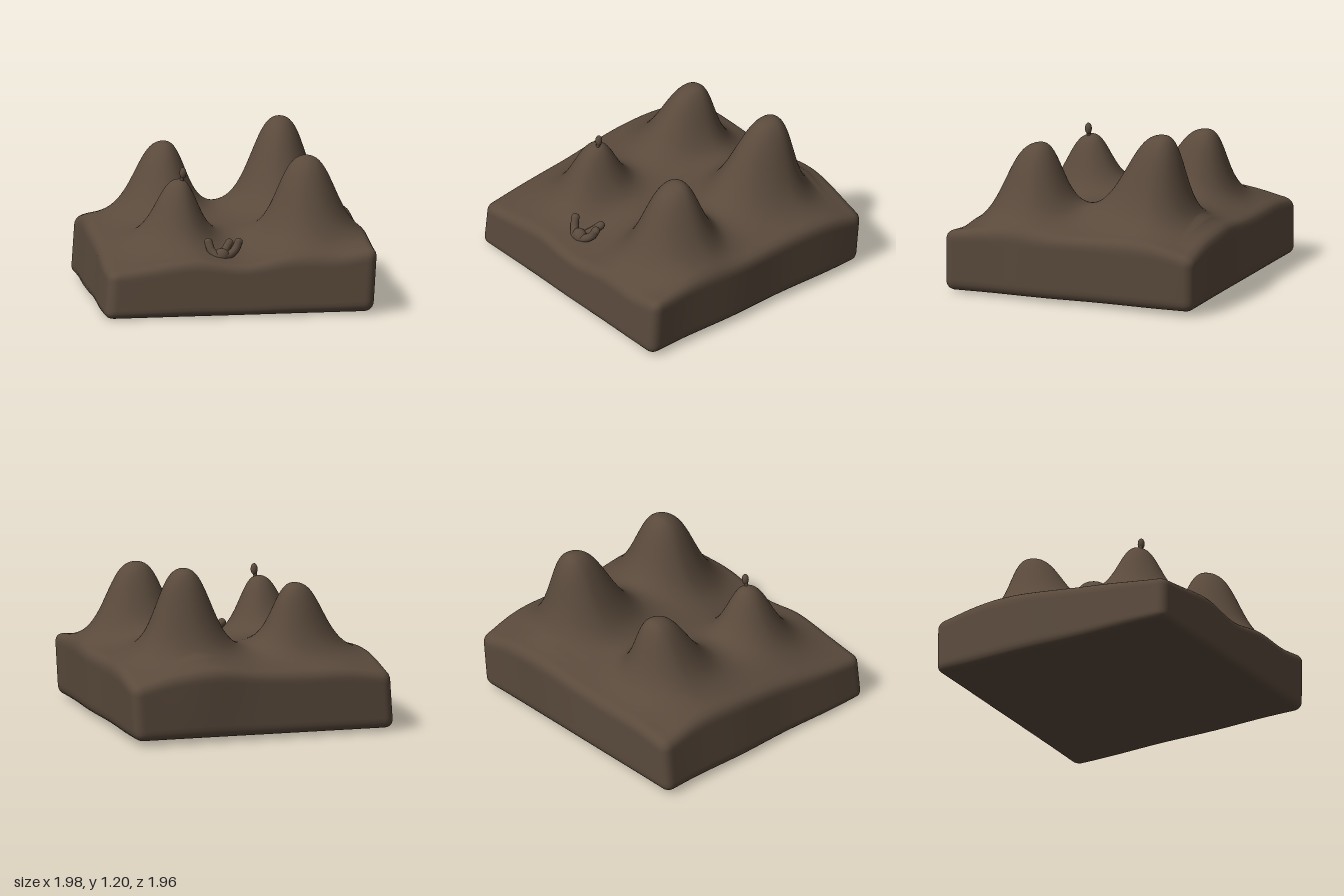
import * as THREE from 'three';
import { mergeVertices } from 'three/addons/utils/BufferGeometryUtils.js';

const HALF_W = 0.975, HALF_D = 0.965, THICK = 0.5, R = 0.07;

// Ground heights: rows from back to front, columns from x = -1 to 1
const GROUND = [
  [0.42, 0.46, 0.46, 0.48, 0.51, 0.49, 0.42],
  [0.47, 0.48, 0.48, 0.50, 0.50, 0.50, 0.48],
  [0.47, 0.48, 0.48, 0.50, 0.50, 0.50, 0.48],
  [0.44, 0.46, 0.46, 0.48, 0.49, 0.49, 0.47],
  [0.39, 0.43, 0.43, 0.44, 0.45, 0.46, 0.45],
  [0.35, 0.38, 0.385, 0.375, 0.40, 0.42, 0.46],
  [0.32, 0.35, 0.385, 0.35, 0.385, 0.38, 0.46],
];

// Hills: foot centre, rise, falloff widths towards +x, -x, +z, -z, steepness, lean of the summit
const HILLS = [
  { x: 0.41, z: -0.47, rise: 0.695, w: [0.235, 0.215, 0.3, 0.2], p: 3.9, lean: [0.045, -0.06] },
  { x: -0.41, z: -0.46, rise: 0.55, w: [0.19, 0.23, 0.28, 0.185], p: 3.7, lean: [0.02, -0.05] },
  { x: 0.52, z: 0.42, rise: 0.61, w: [0.24, 0.235, 0.27, 0.2], p: 4, lean: [0, 0] },
  { x: -0.395, z: 0.4, rise: 0.475, w: [0.16, 0.205, 0.215, 0.185], p: 3.3, lean: [0, 0] },
];

// Smooth curve through evenly spaced values, u from 0 to 1
function spline(values, u) {
  const n = values.length - 1;
  const f = THREE.MathUtils.clamp(u, 0, 0.9999) * n;
  const i = Math.floor(f), t = f - i;
  const [a, b, c, d] = [-1, 0, 1, 2].map(k => values[THREE.MathUtils.clamp(i + k, 0, n)]);
  return b + 0.5 * t * (c - a + t * (2 * a - 5 * b + 4 * c - d + t * (3 * (b - c) + d - a)));
}

function ground(x, z) {
  return spline(GROUND.map(row => spline(row, (x + 1) / 2)), (z + 1) / 2);
}

// Round-topped bell, 1 at the summit and 0.5 at the falloff width
function hillShare(h, x, z) {
  const dx = x - h.x, dz = z - h.z;
  const t = Math.hypot(dx / h.w[dx > 0 ? 0 : 1], dz / h.w[dz > 0 ? 2 : 3]);
  return 1 / (1 + 0.3 * t * t + 0.7 * Math.pow(t, h.p));
}

// Rounded slab whose top is raised into hills
function terrainGeometry() {
  const g0 = new THREE.BoxGeometry(2 * HALF_W, THICK, 2 * HALF_D, 120, 16, 120);
  g0.deleteAttribute('uv');
  g0.deleteAttribute('normal');
  const g = mergeVertices(g0, 1e-5);
  const pos = g.attributes.position;
  const v = new THREE.Vector3(), core = new THREE.Vector3();
  const inner = new THREE.Vector3(HALF_W - R, THICK / 2 - R, HALF_D - R);
  const outer = inner.clone().negate();
  for (let i = 0; i < pos.count; i++) {
    v.fromBufferAttribute(pos, i);
    // round the edges
    core.copy(v).clamp(outer, inner);
    v.sub(core);
    if (v.lengthSq() > 0) v.setLength(Math.max(Math.abs(v.x), Math.abs(v.y), Math.abs(v.z)));
    v.add(core);
    // stretch each column between the tilted base and the hills
    const t = v.y / THICK + 0.5;
    let { x, z } = v;
    let top = ground(x, z);
    for (const h of HILLS) {
      const s = hillShare(h, v.x, v.z);
      top += h.rise * s;
      x += h.lean[0] * s * t;
      z += h.lean[1] * s * t;
    }
    const base = 0.017 + 0.008 * v.x - 0.011 * v.z;
    // slanted, slightly uneven sides
    x += 0.03 * (t - 0.5) + 0.005 * Math.sin(7 * v.z);
    z += 0.007 - 0.012 * (t - 0.5);
    if (v.z < -0.8) z -= 0.025 * t * Math.exp(-(((v.x - 0.4) / 0.25) ** 2));
    pos.setXYZ(i, x, THREE.MathUtils.lerp(base, top, t), z);
  }
  g.computeVertexNormals();
  return g;
}

function blob(name, at, size, mat) {
  const m = new THREE.Mesh(new THREE.SphereGeometry(1, 18, 12), mat);
  m.name = name;
  m.position.set(...at);
  m.scale.set(...size);
  return m;
}

// Soft clay strand: a tube with rounded ends
function strand(name, points, radius, mat) {
  const group = new THREE.Group();
  group.name = name;
  const pts = points.map(p => new THREE.Vector3(...p));
  const tube = new THREE.Mesh(new THREE.TubeGeometry(new THREE.CatmullRomCurve3(pts), 32, radius, 12), mat);
  tube.name = name + 'Body';
  group.add(tube);
  for (const p of [points[0], points[points.length - 1]]) {
    group.add(blob(name + 'End', p, [radius, radius, radius], mat));
  }
  return group;
}

export function createModel() {
  const model = new THREE.Group();
  model.name = 'hillyTerrain';
  const earth = new THREE.MeshStandardMaterial({ color: 0x5a4a3c });
  earth.name = 'earthBrown';

  const terrain = new THREE.Mesh(terrainGeometry(), earth);
  terrain.name = 'terrain';
  model.add(terrain);

  // Small bud on the front right summit
  const bud = new THREE.Group();
  bud.name = 'summitBud';
  bud.add(
    strand('budStem', [[-0.385, 0.86, 0.4], [-0.362, 0.9, 0.4], [-0.352, 0.95, 0.4]], 0.015, earth),
    blob('budHead', [-0.35, 0.96, 0.4], [0.025, 0.042, 0.025], earth),
  );
  model.add(bud);

  // Little knotted root in the front valley
  const root = new THREE.Group();
  root.name = 'valleyRoot';
  root.add(
    strand('longRoot', [[-0.21, 0.51, 0.73], [-0.19, 0.45, 0.755], [-0.14, 0.405, 0.785],
      [-0.07, 0.415, 0.765], [-0.015, 0.455, 0.735], [0.01, 0.505, 0.72]], 0.03, earth),
    strand('shortRoot', [[-0.045, 0.485, 0.63], [-0.08, 0.44, 0.665], [-0.12, 0.4, 0.73]], 0.03, earth),
    blob('rootKnot', [-0.12, 0.41, 0.765], [0.06, 0.06, 0.05], earth),
  );
  model.add(root);

  return model;
}
